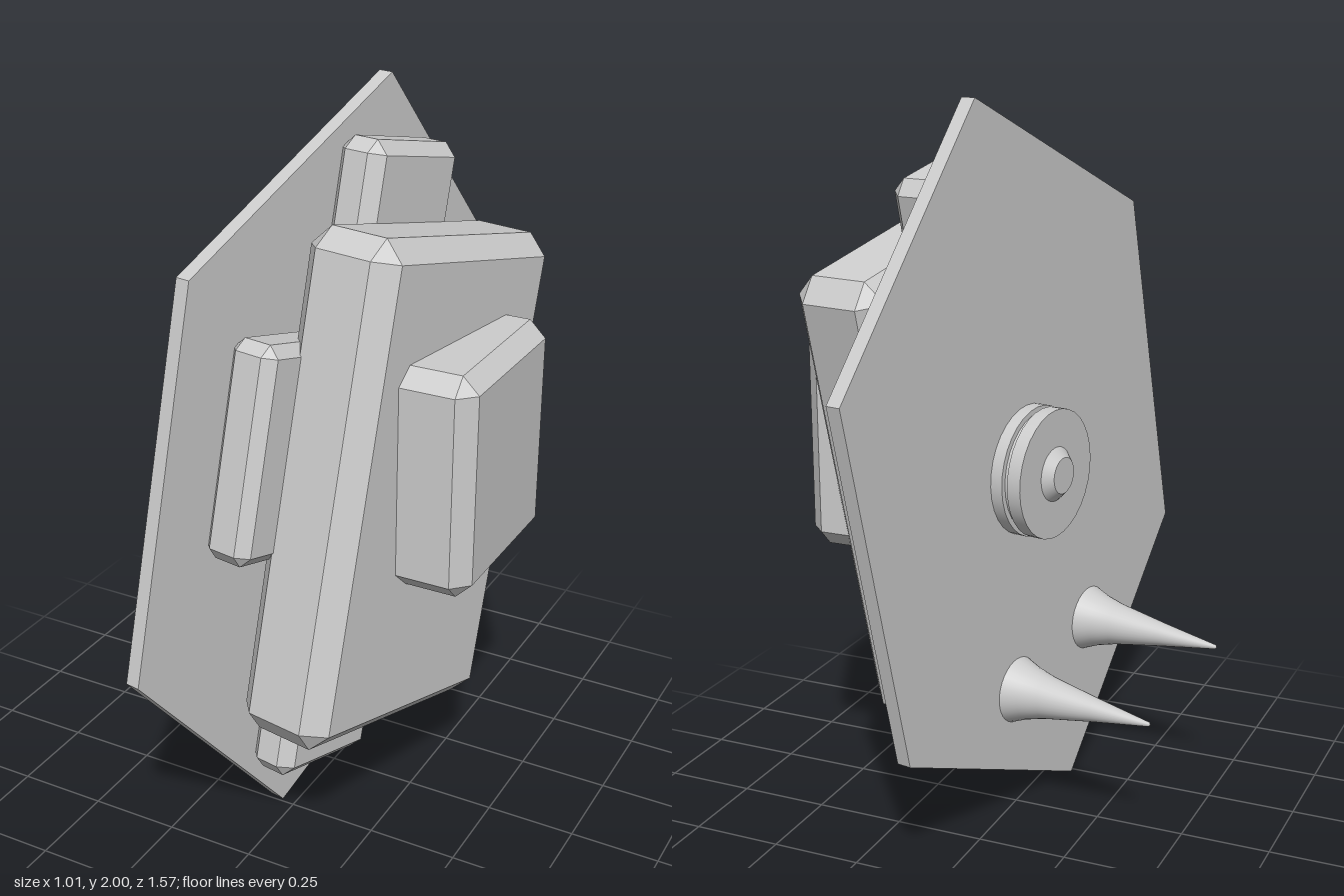
import * as THREE from 'three';
import { ConvexGeometry } from 'three/addons/geometries/ConvexGeometry.js';

const grey = new THREE.MeshStandardMaterial({ color: 0xcccccc });
grey.name = 'light grey';

function add(parent, name, geometry, x = 0, y = 0, z = 0) {
  const mesh = new THREE.Mesh(geometry, grey);
  mesh.name = name;
  mesh.position.set(x, y, z);
  parent.add(mesh);
  return mesh;
}

// box with every edge cut at 45 degrees by b
function chamferedBox(w, h, d, b) {
  const points = [];
  for (const sx of [-1, 1]) for (const sy of [-1, 1]) for (const sz of [-1, 1]) {
    const x = w / 2, y = h / 2, z = d / 2;
    for (const p of [[x, y - b, z - b], [x - b, y, z - b], [x - b, y - b, z]]) {
      points.push(new THREE.Vector3(p[0] * sx, p[1] * sy, p[2] * sz));
    }
  }
  return new ConvexGeometry(points);
}

// turned part whose axis points backwards (-z)
function turned(profile, segments = 32) {
  const geometry = new THREE.LatheGeometry(profile.map(([r, d]) => new THREE.Vector2(r, d)), segments);
  return geometry.rotateX(-Math.PI / 2);
}

export function createModel() {
  const model = new THREE.Group();

  // tilted assembly: local +z is the outer side of the plate
  const panel = new THREE.Group();
  panel.name = 'tiltedPanel';
  panel.rotation.set(0, THREE.MathUtils.degToRad(80.15), THREE.MathUtils.degToRad(-13.5), 'YXZ');
  panel.position.set(-0.017, 1, 0);
  model.add(panel);

  // stretched hexagonal plate
  const hexagon = new THREE.Shape();
  for (let i = 0; i < 6; i++) {
    const a = Math.PI / 2 + (i * Math.PI) / 3;
    const x = Math.cos(a) * 0.797, y = Math.sin(a) * 1.03;
    if (i === 0) hexagon.moveTo(x, y);
    else hexagon.lineTo(x, y);
  }
  hexagon.closePath();
  const plate = new THREE.ExtrudeGeometry(hexagon, { depth: 0.04, bevelEnabled: false });
  add(panel, 'hexagonPlate', plate, 0, 0, -0.02);

  // crossed bars behind the main block
  add(panel, 'longBar', chamferedBox(0.38, 1.74, 0.14, 0.035), 0, 0, 0.08);
  add(panel, 'crossBar', chamferedBox(1.02, 0.57, 0.14, 0.03), 0, 0.085, 0.08);
  add(panel, 'mainBlock', chamferedBox(0.78, 1.33, 0.275, 0.055), 0, 0, 0.228);

  // round hub on the back: neck, disc and centre knob
  add(panel, 'hub', turned([
    [0.18, 0], [0.18, 0.055], [0.18, 0.055], [0.165, 0.055], [0.165, 0.055], [0.165, 0.07],
    [0.165, 0.07], [0.178, 0.07], [0.178, 0.07], [0.178, 0.11], [0.178, 0.11], [0.075, 0.11],
    [0.075, 0.11], [0.05, 0.135], [0.05, 0.135], [0, 0.135],
  ]));

  // pair of flared spikes on the back
  for (const side of [-1, 1]) {
    add(panel, side < 0 ? 'frontSpike' : 'rearSpike', turned([
      [0.095, 0.015], [0.075, 0.065], [0.06, 0.12], [0.033, 0.27], [0.006, 0.438], [0, 0.442],
    ]), side * 0.195, -0.6, 0);
  }

  // upright block on the outer face
  add(model, 'outerBlock', chamferedBox(0.245, 0.615, 0.515, 0.045), 0.383, 1.097, -0.008);

  return model;
}
